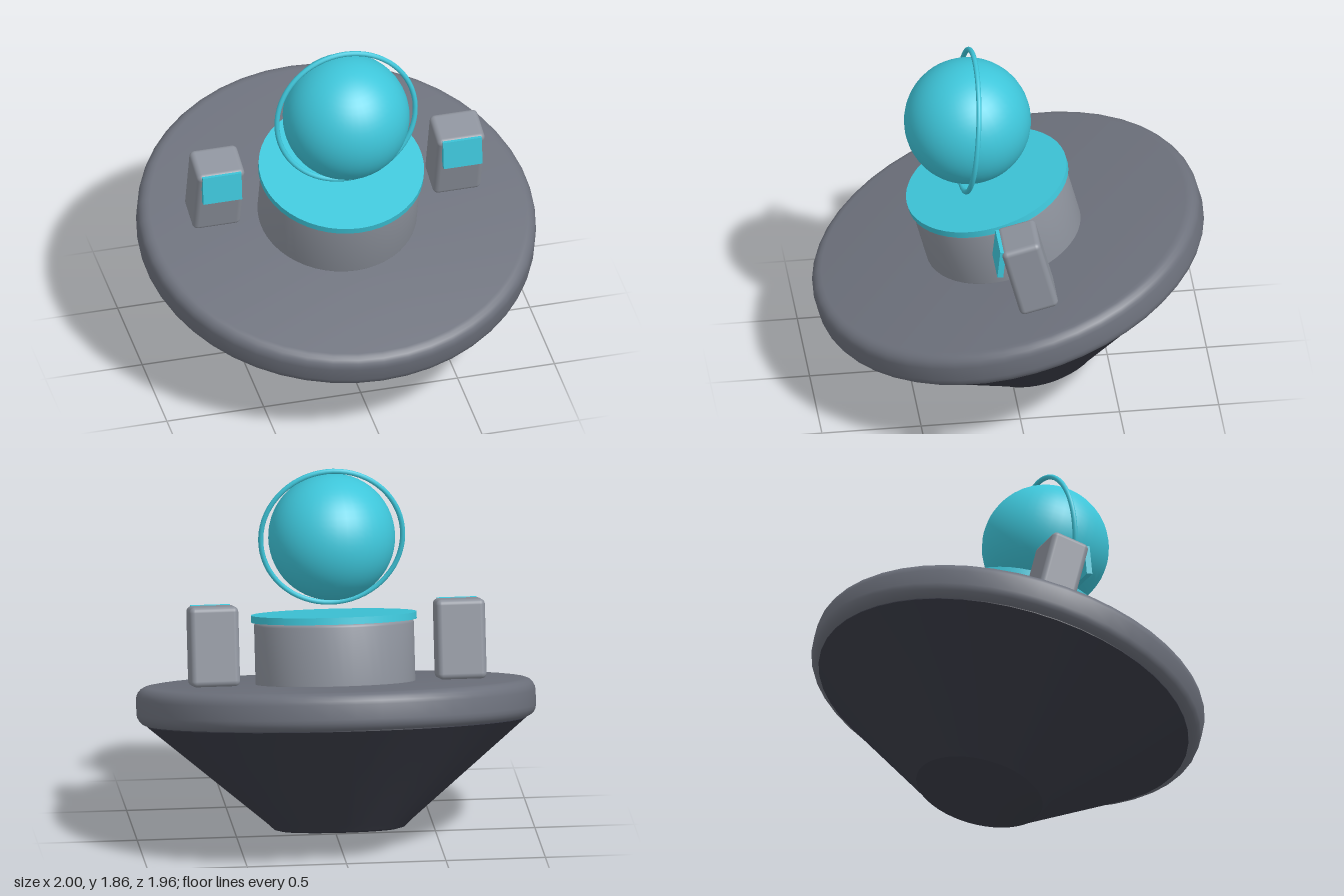
import * as THREE from 'three';
import { toCreasedNormals } from 'three/addons/utils/BufferGeometryUtils.js';
import { RoundedBoxGeometry } from 'three/addons/geometries/RoundedBoxGeometry.js';

const colour = (name, color) => {
  const m = new THREE.MeshStandardMaterial({ color });
  m.name = name;
  return m;
};

// Corner fillet points around (cx, cy) from angle a to b
function arc(cx, cy, r, a, b, n = 5) {
  return Array.from({ length: n + 1 }, (_, i) => {
    const t = a + (b - a) * i / n;
    return [cx + r * Math.cos(t), cy + r * Math.sin(t)];
  });
}

// Turned solid from a bottom-to-top profile
function turned(points, segments = 48) {
  const profile = points.map(([x, y]) => new THREE.Vector2(x, y));
  return toCreasedNormals(new THREE.LatheGeometry(profile, segments), 0.5);
}

// Turned disc with rounded rims
function roundedDisc(radius, y0, y1, r) {
  const q = Math.PI / 2;
  return turned([
    [0, y0],
    ...arc(radius - r, y0 + r, r, -q, 0),
    ...arc(radius - r, y1 - r, r, 0, q),
    [0, y1],
  ]);
}

export function createModel() {
  const hull = colour('dark hull', 0x3a3c47);
  const deckGrey = colour('deck grey', 0x6d717c);
  const paleGrey = colour('pale grey', 0x8d929c);
  const teal = colour('teal', 0x3ec6da);

  const model = new THREE.Group();
  model.name = 'tiltedCraft';

  // Whole body leans toward the front
  const body = new THREE.Group();
  body.name = 'body';
  body.position.y = 0.7;
  body.rotation.x = 0.25;
  model.add(body);

  const add = (name, geometry, material, x = 0, y = 0, z = 0, rx = 0) => {
    const mesh = new THREE.Mesh(geometry, material);
    mesh.name = name;
    mesh.position.set(x, y, z);
    mesh.rotation.x = rx;
    body.add(mesh);
    return mesh;
  };

  // Tapered underside and round deck
  add('hullCone', turned([
    [0, -0.642], [0.29, -0.642], [0.325, -0.633], [0.36, -0.6], [0.95, -0.1], [0.95, -0.08], [0, -0.08],
  ]), hull);
  add('deck', roundedDisc(1, -0.097, 0.097, 0.06), deckGrey);

  // Central drum with its lid
  add('drum', roundedDisc(0.4, 0.08, 0.41, 0.02), paleGrey);
  add('drumLid', new THREE.CylinderGeometry(0.415, 0.415, 0.035, 48), teal, 0, 0.425, 0);

  // Floating globe and the ring around it
  add('globe', new THREE.SphereGeometry(0.318, 40, 28), teal, 0, 0.826, 0);
  add('globeRing', new THREE.TorusGeometry(0.357, 0.013, 10, 64), teal, 0, 0.826, 0, -0.356);

  // Consoles with tilted screens, one on each side
  for (const [side, s] of [['left', 1], ['right', -1]]) {
    add(side + 'Console', new RoundedBoxGeometry(0.247, 0.4, 0.2, 4, 0.028), paleGrey, s * 0.62, 0.303, -0.1);
    add(side + 'Screen', new THREE.BoxGeometry(0.2, 0.15, 0.03), teal, s * 0.62, 0.43, 0.015, -0.35);
  }

  return model;
}
